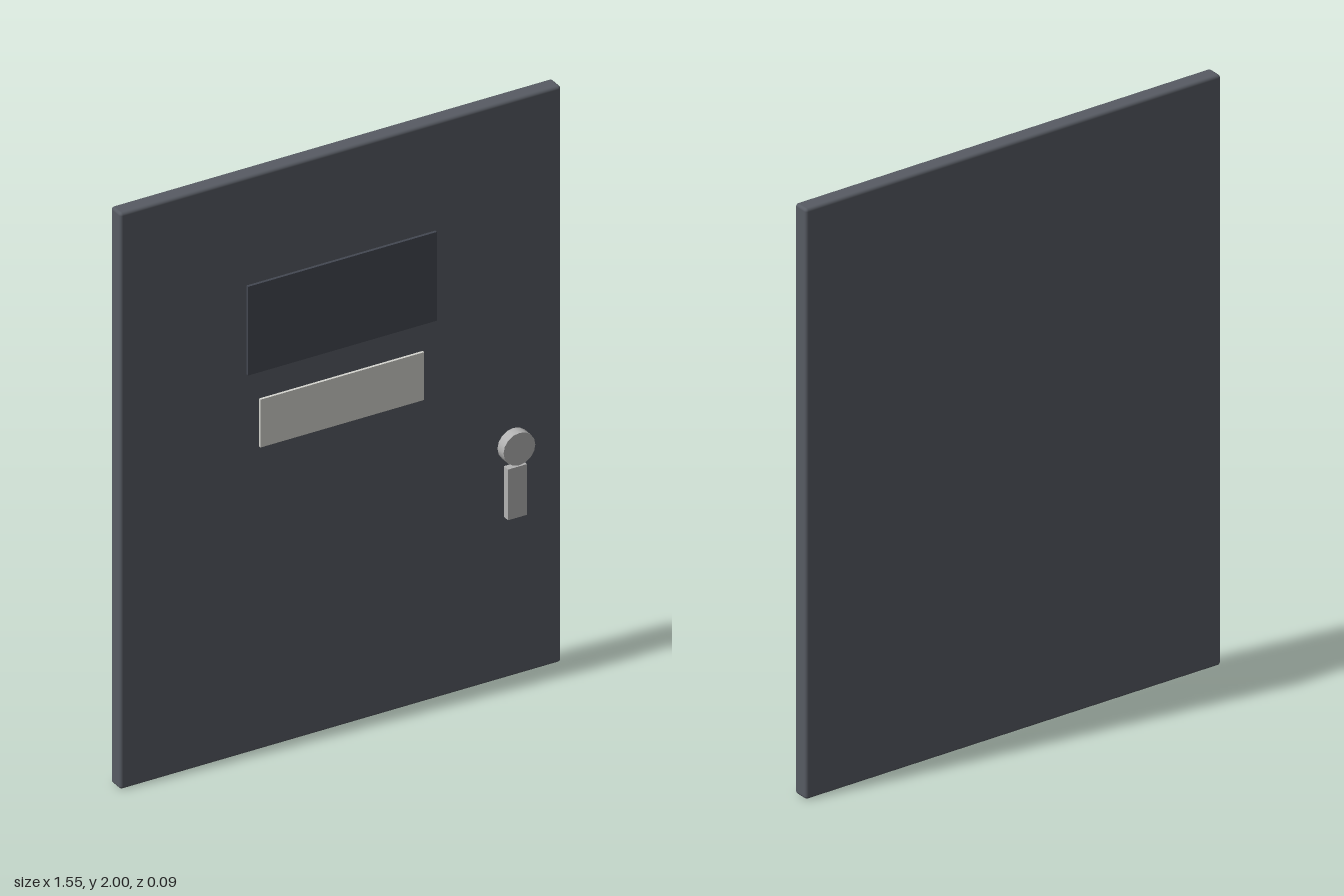
import * as THREE from 'three';
import { RoundedBoxGeometry } from 'three/addons/geometries/RoundedBoxGeometry.js';

const FACE = 0.011; // z of the door's front face
const BACK = -0.047;

export function createModel() {
  const group = new THREE.Group();
  const paint = new THREE.MeshStandardMaterial({ color: 0x575b63 });
  const glass = new THREE.MeshStandardMaterial({ color: 0x434751 });
  const card = new THREE.MeshStandardMaterial({ color: 0xd4d4ce });
  const metal = new THREE.MeshStandardMaterial({ color: 0xb2b2b2 });

  const add = (name, geometry, material, x, y, z) => {
    const mesh = new THREE.Mesh(geometry, material);
    mesh.name = name;
    mesh.position.set(x, y, z);
    group.add(mesh);
    return mesh;
  };

  // A box fixed to the door face, sunk slightly into it
  const addPlate = (name, material, x, y, w, h, front) => {
    const back = FACE - 0.01;
    add(name, new THREE.BoxGeometry(w, h, front - back), material, x, y, (front + back) / 2);
  };

  // Door slab with softened edges
  add('doorPanel', new RoundedBoxGeometry(1.552, 2, FACE - BACK, 2, 0.01),
    paint, 0, 1, (FACE + BACK) / 2);

  // Dark window and pale name plate
  addPlate('window', glass, 0, 1.471, 0.664, 0.308, 0.021);
  addPlate('namePlate', card, 0, 1.137, 0.576, 0.166, 0.02);

  // Round lock with the handle below it
  const lock = add('lockKnob', new THREE.CylinderGeometry(0.056, 0.056, 0.046, 16),
    metal, 0.607, 0.805, 0.024);
  lock.rotation.x = Math.PI / 2;
  addPlate('handle', metal, 0.607, 0.65, 0.067, 0.176, 0.036);

  return group;
}
